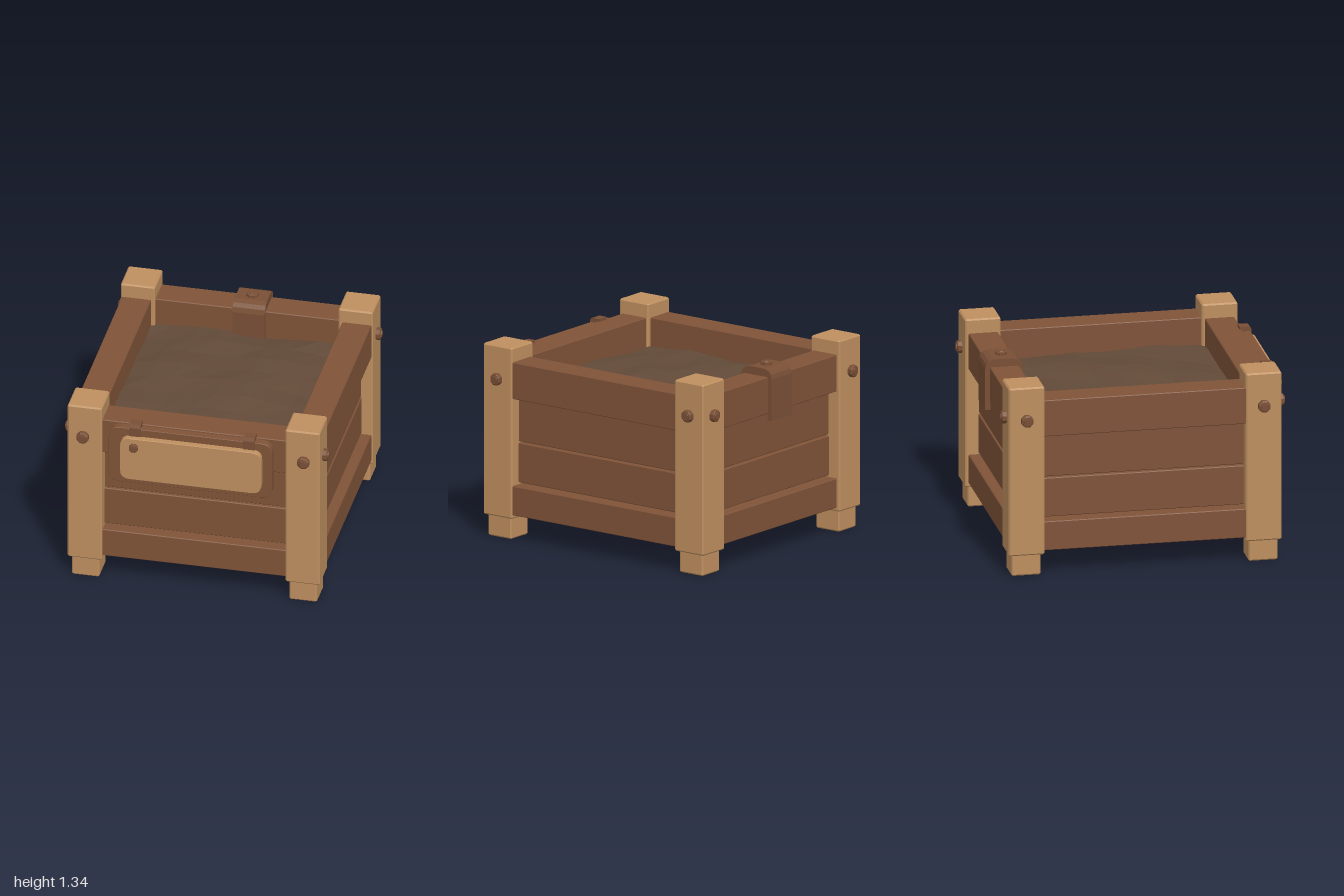
import * as THREE from 'three';
import { ConvexGeometry } from 'three/addons/geometries/ConvexGeometry.js';

const mat = (name, color) => {
  const m = new THREE.MeshStandardMaterial({ color, flatShading: true, side: THREE.DoubleSide });
  m.name = name;
  return m;
};

export function createModel() {
  const wood = mat('dark wood', 0x7f5338);
  const paleWood = mat('pale wood', 0xbe8f5f);
  const leather = mat('strap brown', 0x794f35);
  const earth = mat('soil', 0x624a38);

  const model = new THREE.Group();
  model.name = 'planterBox';
  // frame is centred slightly behind the origin because the sign sticks out in front
  const frame = new THREE.Group();
  frame.name = 'frame';
  frame.position.z = -0.027;
  model.add(frame);

  const add = (parent, name, geometry, material, x = 0, y = 0, z = 0) => {
    const mesh = new THREE.Mesh(geometry, material);
    mesh.name = name;
    mesh.position.set(x, y, z);
    parent.add(mesh);
    return mesh;
  };

  // box with every edge chamfered by c
  const chamferBox = (w, h, d, c) => {
    const pts = [];
    for (const sx of [-1, 1]) for (const sy of [-1, 1]) for (const sz of [-1, 1]) {
      const [x, y, z] = [w / 2, h / 2, d / 2];
      pts.push(new THREE.Vector3(sx * x, sy * (y - c), sz * (z - c)));
      pts.push(new THREE.Vector3(sx * (x - c), sy * y, sz * (z - c)));
      pts.push(new THREE.Vector3(sx * (x - c), sy * (y - c), sz * z));
    }
    return new ConvexGeometry(pts);
  };

  // copy of a non-indexed geometry without the faces pointing along the given directions
  const without = (geometry, ...directions) => {
    const p = geometry.attributes.position, kept = [];
    const tri = new THREE.Triangle(), n = new THREE.Vector3();
    for (let i = 0; i < p.count; i += 3) {
      tri.setFromAttributeAndIndices(p, i, i + 1, i + 2);
      tri.getNormal(n);
      if (directions.some((d) => n.dot(d) > 0.99)) continue;
      kept.push(tri.a.clone(), tri.b.clone(), tri.c.clone());
    }
    const g = new THREE.BufferGeometry().setFromPoints(kept);
    g.computeVertexNormals();
    return g;
  };
  const down = new THREE.Vector3(0, -1, 0), up = new THREE.Vector3(0, 1, 0);

  // bolt head along +y, starting at y = 0
  const boltGeometry = (r, h) => new THREE.LatheGeometry([
    [r, -0.01], [r, h * 0.7], [r * 0.8, h * 0.85], [r * 0.6, h * 0.85], [r * 0.55, h], [0, h],
  ].map(([x, y]) => new THREE.Vector2(x, y)), 8, Math.PI / 8);

  // corner posts with open-bottomed feet and bolts
  const postX = 0.75, postZ = 0.812;
  const bolt = boltGeometry(0.043, 0.04);
  const foot = without(chamferBox(0.19, 0.19, 0.2, 0.01), down);
  for (const sx of [-1, 1]) for (const sz of [-1, 1]) {
    const corner = new THREE.Group();
    corner.name = 'cornerPost';
    corner.position.set(sx * postX, 0, sz * postZ);
    frame.add(corner);
    add(corner, 'post', chamferBox(0.236, 1.188, 0.246, 0.01), paleWood, 0, 0.742, 0);
    add(corner, 'foot', foot, paleWood, 0, 0.095, 0);
    add(corner, 'endBolt', bolt, leather, sx * 0.01, 1.105, sz * 0.123).rotation.x = sz * Math.PI / 2;
    add(corner, 'sideBolt', bolt, leather, sx * 0.117, 1.105, 0).rotation.z = -sx * Math.PI / 2;
  }

  // plank rows: bottom, top, distance of outer face in from the rail face, thickness
  const rows = [
    [0.174, 0.378, 0, 0.2],
    [0.39, 0.664, 0.066, 0.14],
    [0.674, 0.977, 0.07, 0.13],
    [0.981, 1.236, 0, 0.2],
  ];
  rows.forEach(([y0, y1, inset, t], row) => {
    const h = y1 - y0, y = (y0 + y1) / 2;
    // the lowest row is a shell, open below and towards the soil
    const shape = (g, inward) => (row === 0 ? without(g, down, inward) : g);
    for (const s of [-1, 1]) {
      const end = shape(chamferBox(1.32, h, t, 0.005), new THREE.Vector3(0, 0, -s));
      add(frame, s > 0 ? 'frontPlank' : 'backPlank', end, wood, 0, y, s * (0.91 - inset - t / 2));
      const side = shape(chamferBox(t, h, 1.44, 0.005), new THREE.Vector3(-s, 0, 0));
      add(frame, s > 0 ? 'leftPlank' : 'rightPlank', side, wood, s * (0.859 - inset - t / 2), y, 0);
    }
  });

  // soil body inside the planks, open below
  const body = without(new THREE.BoxGeometry(1.3, 0.75, 1.274).toNonIndexed(), up, down);
  add(frame, 'soilBody', body, earth, 0, 0.625, 0);

  // gently mounded, uneven soil surface
  const top = new THREE.PlaneGeometry(1.34, 1.43, 8, 8);
  top.rotateX(-Math.PI / 2);
  const p = top.attributes.position;
  for (let i = 0; i < p.count; i++) {
    const x = p.getX(i), z = p.getZ(i);
    const dome = Math.cos(x * 2.2) * Math.cos(z * 2.0);
    p.setY(i, 1.04 + 0.055 * dome + 0.01 * Math.sin(x * 9 + z * 4) + 0.01 * Math.sin(z * 11 - x * 5 + 1));
  }
  add(frame, 'soilTop', top, earth);

  // rounded plate facing +z
  const plate = (w, h, r, d) => {
    const s = new THREE.Shape(), x = w / 2, y = h / 2, b = 0.003;
    s.moveTo(-x + r, -y).lineTo(x - r, -y).quadraticCurveTo(x, -y, x, -y + r)
      .lineTo(x, y - r).quadraticCurveTo(x, y, x - r, y)
      .lineTo(-x + r, y).quadraticCurveTo(-x, y, -x, y - r)
      .lineTo(-x, -y + r).quadraticCurveTo(-x, -y, -x + r, -y);
    return new THREE.ExtrudeGeometry(s, {
      depth: d - b, bevelThickness: b, bevelSize: b, bevelOffset: -b, bevelSegments: 1, curveSegments: 5,
    });
  };

  // front sign with hanging clips
  const sign = new THREE.Group();
  sign.name = 'frontSign';
  model.add(sign);
  add(sign, 'signBacking', plate(1.125, 0.422, 0.08, 0.062), wood, -0.015, 1.014, 0.875);
  add(sign, 'signBoard', plate(0.972, 0.318, 0.065, 0.045), paleWood, -0.005, 1.012, 0.935);
  const signBolt = add(sign, 'signBolt', boltGeometry(0.033, 0.02), leather, -0.395, 1.105, 0.98);
  signBolt.rotation.x = Math.PI / 2;

  // strip bent over an edge: side profile given as (z, y) points, extruded along x
  const bentStrip = (points, width) => {
    const s = new THREE.Shape(points.map(([z, y]) => new THREE.Vector2(-z, y)));
    const g = new THREE.ExtrudeGeometry(s, { depth: width, bevelEnabled: false });
    g.translate(0, 0, -width / 2);
    return g.rotateY(Math.PI / 2);
  };
  const clip = bentStrip([
    [0.865, 1.225], [0.865, 1.255], [0.925, 1.255], [0.938, 1.25], [0.945, 1.235],
    [0.945, 1.16], [0.93, 1.16], [0.93, 1.225],
  ], 0.078);
  for (const x of [-0.397, 0.388]) add(sign, 'signClip', clip, leather, x);

  // strap folded over the back rail
  const strap = bentStrip([
    [-0.935, 0.935], [-0.97, 0.935], [-0.97, 1.225], [-0.963, 1.255], [-0.945, 1.277], [-0.915, 1.29],
    [-0.78, 1.29], [-0.745, 1.277], [-0.72, 1.255], [-0.71, 1.22], [-0.71, 1.03], [-0.738, 1.03],
    [-0.738, 1.234], [-0.935, 1.234],
  ], 0.222);
  add(model, 'backStrap', strap, leather, 0.015);
  add(model, 'strapBolt', boltGeometry(0.042, 0.025), leather, 0.015, 1.29, -0.84);

  return model;
}
